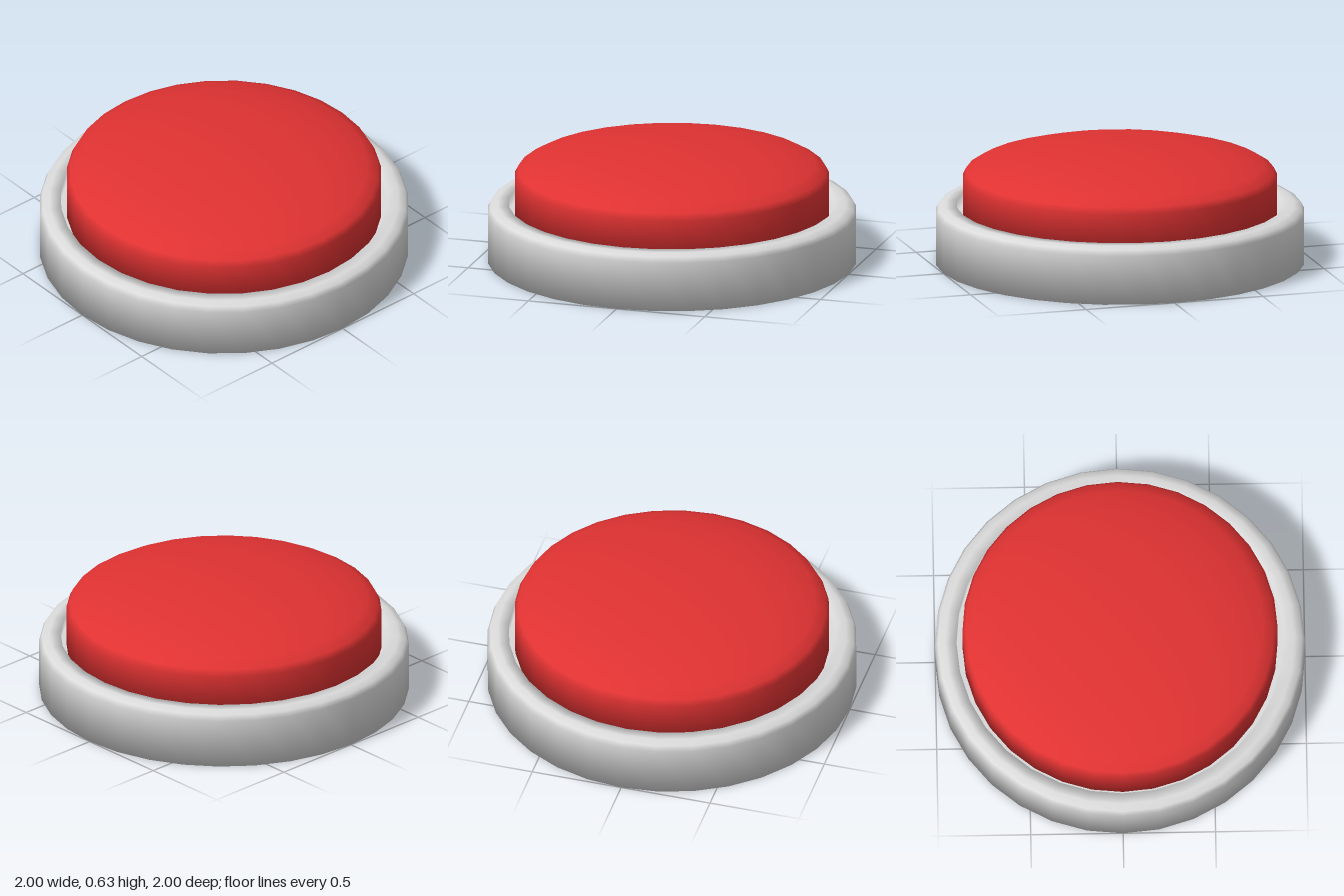
import * as THREE from 'three';

const SIDES = 32;

// Turned part from a radius/height profile, listed from bottom centre to top centre
function turned(name, profile, material) {
  const points = profile.map(([r, y]) => new THREE.Vector2(r, y));
  const mesh = new THREE.Mesh(new THREE.LatheGeometry(points, SIDES), material);
  mesh.name = name;
  return mesh;
}

export function createModel() {
  const grey = new THREE.MeshStandardMaterial({ color: 0xdadada });
  grey.name = 'light grey';
  const red = new THREE.MeshStandardMaterial({ color: 0xe03232 });
  red.name = 'red';

  const group = new THREE.Group();
  group.name = 'pushButton';

  // Round housing with a softened rim and a recess for the cap
  group.add(turned('housing', [
    [0, 0], [1, 0], [1, 0.27], [0.985, 0.3], [0.945, 0.315],
    [0.885, 0.315], [0.885, 0.25], [0, 0.25],
  ], grey));

  // Domed cap sitting in the recess
  group.add(turned('cap', [
    [0, 0.24], [0.853, 0.24], [0.853, 0.465], [0.835, 0.5], [0.775, 0.535],
    [0.64, 0.573], [0.47, 0.604], [0.28, 0.622], [0.12, 0.63], [0, 0.63],
  ], red));

  return group;
}
